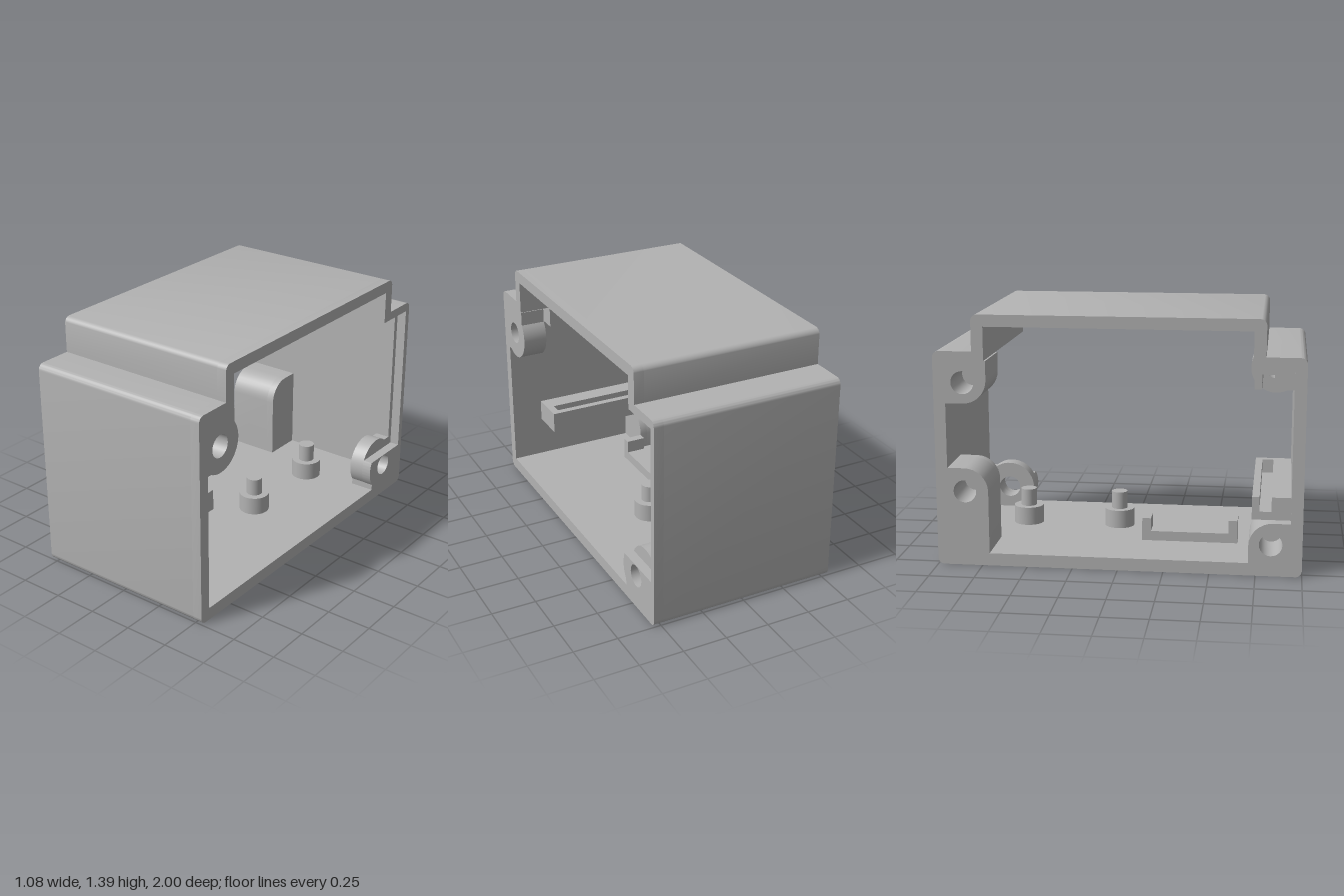
import * as THREE from 'three';
import { toCreasedNormals } from 'three/addons/utils/BufferGeometryUtils.js';

const grey = new THREE.MeshStandardMaterial({ color: 0xb2b2b2 });
grey.name = 'grey plastic';

// Profiles are drawn in side coordinates [u, v] with u = -z and v = y.
// A third value rounds that right-angled corner.
function outline(corners) {
  const pts = [];
  corners.forEach(([u, v, r], i) => {
    const p = new THREE.Vector2(u, v);
    if (!r) return pts.push(p);
    const n = corners.length;
    const a = new THREE.Vector2(...corners[(i + n - 1) % n]).sub(p).normalize();
    const b = new THREE.Vector2(...corners[(i + 1) % n]).sub(p).normalize();
    for (let k = 0; k <= 8; k++) {
      const t = (k / 8) * Math.PI / 2;
      pts.push(p.clone()
        .addScaledVector(a, r * (1 - Math.sin(t)))
        .addScaledVector(b, r * (1 - Math.cos(t))));
    }
  });
  return pts;
}

// Corner points along an arc, for boss outlines
function arc(u, v, r, from, to) {
  return Array.from({ length: 25 }, (_, i) => {
    const t = from + (to - from) * i / 24;
    return [u + r * Math.cos(t), v + r * Math.sin(t)];
  });
}

const circle = (u, v, r) => arc(u, v, r, 0, Math.PI * 2).slice(0, 24);

// Extrude a side profile from x0 to x1
function slab(parent, name, corners, x0, x1, hole) {
  const shape = new THREE.Shape(outline(corners));
  if (hole) shape.holes.push(new THREE.Path(outline(hole)));
  const geo = new THREE.ExtrudeGeometry(shape, { depth: x1 - x0, bevelEnabled: false });
  geo.rotateY(Math.PI / 2).translate(x0, 0, 0);
  const mesh = new THREE.Mesh(toCreasedNormals(geo, 0.5), grey);
  mesh.name = name;
  parent.add(mesh);
}

export function createModel() {
  const model = new THREE.Group();
  model.name = 'enclosure';
  const X = 0.54, R = 0.035, RIM = 0.485;

  // Shell: stepped tube, open at both x ends
  const outer = [
    [-1, 0, R], [1, 0, R], [1, 1.195, R], [0.785, 1.195], [0.785, 1.395, R],
    [-0.785, 1.395, R], [-0.785, 1.195], [-1, 1.195, R],
  ];
  const inner = [
    [-0.935, 0.07], [0.935, 0.07], [0.935, 1.145], [0.72, 1.145], [0.72, 1.33],
    [-0.72, 1.33], [-0.72, 1.145], [-0.935, 1.145],
  ];
  const rimInner = [...inner];
  rimInner.splice(2, 1, [0.935, 0.26], [0.965, 0.26], [0.965, 1.145]);
  slab(model, 'shell', outer, -X, RIM, inner);
  slab(model, 'recessedRim', outer, RIM, X, rimInner);

  // Screw blocks with blind holes at the -x end
  const blocks = [
    ['upperBackBlock', [[0.71, 0.91, 0.13], [0.935, 0.91], [0.935, 1.145], [0.71, 1.145]], 0.84, 1.025],
    ['lowerBackBlock', [[0.71, 0.07], [0.935, 0.07], [0.935, 0.55], [0.71, 0.55, 0.13]], 0.84, 0.42],
    ['lowerFrontBlock', [[-0.935, 0.07], [-0.71, 0.07], [-0.71, 0.295, 0.13], [-0.935, 0.295]], -0.83, 0.176],
  ];
  for (const [name, corners, u, v] of blocks) {
    slab(model, name, corners, -X, -0.28, circle(u, v, 0.063));
    slab(model, name + 'End', corners, -0.28, -0.235);
  }

  // Upper front screw boss at the +x end
  const K = Math.atan2(0.09, 0.12);
  slab(model, 'upperFrontBoss', [
    [-0.935, 1.145], [-0.935, 0.845],
    ...arc(-0.835, 0.975, 0.15, Math.atan2(-0.13, -0.075), K),
    [-0.715, 1.145],
  ], 0.4, X, circle(-0.835, 0.975, 0.063));

  // Lower back screw boss, its upper part set back behind the rim recess
  const bossHole = circle(0.79, 0.195, 0.063);
  slab(model, 'lowerBackBoss', [
    [0.67, 0.07], [0.935, 0.07], [0.935, 0.31],
    ...arc(0.79, 0.195, 0.15, Math.atan2(0.115, 0.095), Math.PI + K),
  ], 0.4, RIM, bossHole);
  slab(model, 'lowerBackBossFace', [
    [0.67, 0.07], [0.935, 0.07], [0.935, 0.26],
    ...arc(0.79, 0.195, 0.15, Math.atan2(0.065, -0.135), Math.PI + K),
  ], RIM, X, bossHole);

  // Slotted board rails on the front wall, facing each other, closed at +x
  for (const [name, base, tip, depth] of [['lowerRail', 0.31, 0.435, 0.355], ['upperRail', 1.145, 1.02, 1.1]]) {
    const u = [[-0.935, base], [-0.725, base], [-0.725, tip], [-0.765, tip],
      [-0.765, depth], [-0.83, depth], [-0.83, tip], [-0.935, tip]];
    slab(model, name, u, -0.52, 0.31);
    slab(model, name + 'End', [u[0], u[1], u[2], u[7]], 0.31, 0.355);
  }

  // Floor cradle
  slab(model, 'floorCradle', [
    [-0.64, 0.07], [-0.1, 0.07], [-0.1, 0.2], [-0.15, 0.2],
    [-0.15, 0.125], [-0.59, 0.125], [-0.59, 0.2], [-0.64, 0.2],
  ], -0.2, -0.085);

  // Floor standoffs with locating pins
  for (const z of [-0.065, -0.61]) {
    const standoff = new THREE.Group();
    standoff.name = 'standoff';
    for (const [name, r, y0, y1] of [['post', 0.087, 0.07, 0.175], ['pin', 0.046, 0.175, 0.275]]) {
      const mesh = new THREE.Mesh(new THREE.CylinderGeometry(r, r, y1 - y0, 32), grey);
      mesh.name = name;
      mesh.position.set(0.095, (y0 + y1) / 2, z);
      standoff.add(mesh);
    }
    model.add(standoff);
  }
  return model;
}
